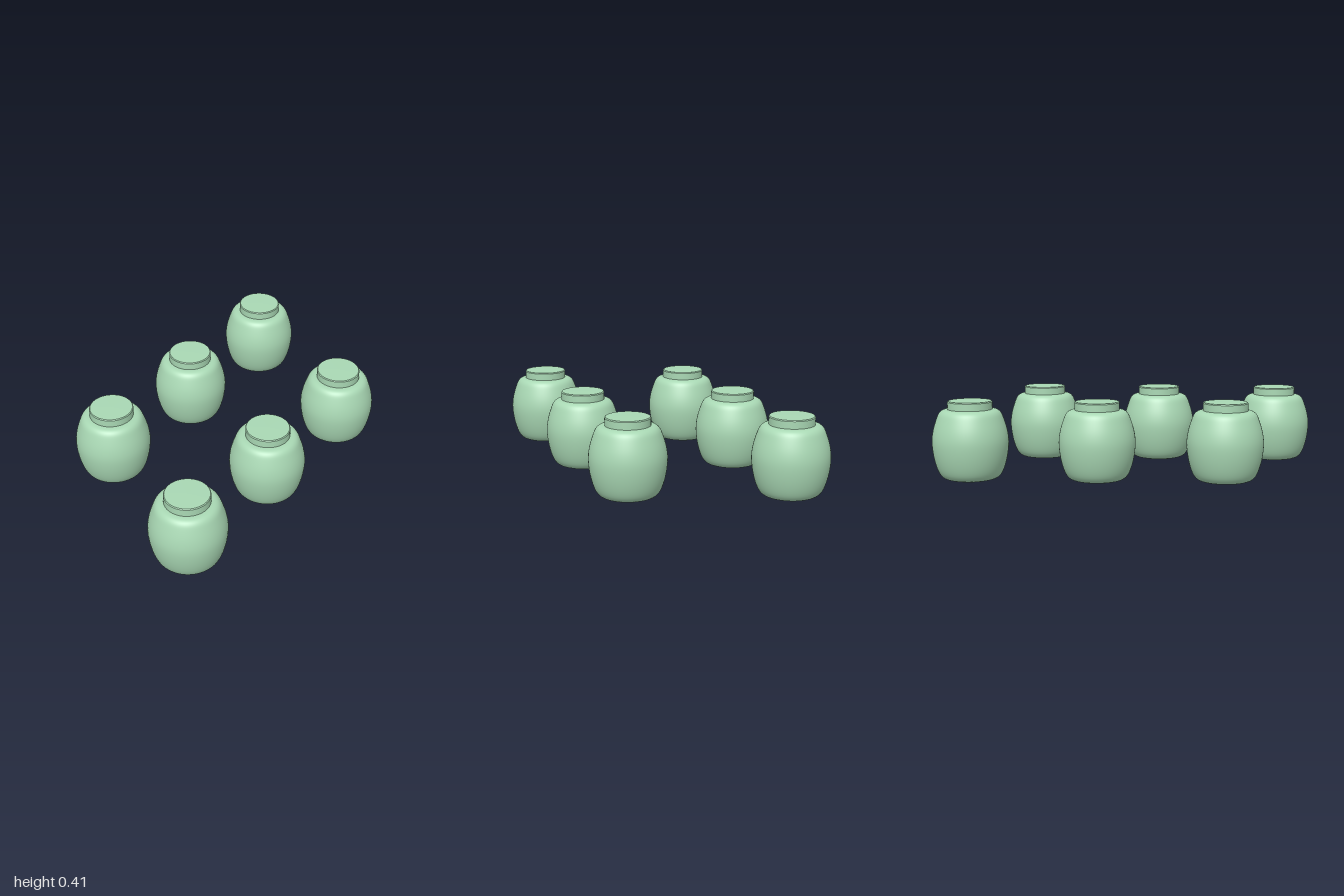
import * as THREE from 'three';

const v = (x, y) => new THREE.Vector2(x, y);

export function createModel() {
  const model = new THREE.Group();
  model.name = 'jarSet';
  const glaze = new THREE.MeshStandardMaterial({ color: 0xa9d8b4 });

  // Rounded barrel body, from the shallow base up to the flat shoulder
  const profile = new THREE.SplineCurve([
    v(0, 0), v(0.06, 0.002), v(0.118, 0.008), v(0.151, 0.025), v(0.173, 0.065),
    v(0.19, 0.13), v(0.197, 0.2), v(0.19, 0.26), v(0.172, 0.32),
    v(0.157, 0.352), v(0.135, 0.367), v(0.1, 0.37),
  ]).getPoints(44);
  profile[0].x = 0;
  const bodyGeometry = new THREE.LatheGeometry(profile, 64);

  // Lid: straight wall, tiny bevel and flat top as separate sharp-edged bands
  const lidBands = [
    [v(0.115, 0.365), v(0.115, 0.407)],
    [v(0.115, 0.407), v(0.111, 0.412)],
    [v(0.111, 0.412), v(0, 0.413)],
  ].map((points) => new THREE.LatheGeometry(points, 64));

  function createJar(x, z) {
    const jar = new THREE.Group();
    jar.name = 'jar';
    const body = new THREE.Mesh(bodyGeometry, glaze);
    body.name = 'body';
    const lid = new THREE.Group();
    lid.name = 'lid';
    ['lidWall', 'lidBevel', 'lidTop'].forEach((name, i) => {
      const band = new THREE.Mesh(lidBands[i], glaze);
      band.name = name;
      lid.add(band);
    });
    jar.add(body, lid);
    jar.position.set(x, 0, z);
    return jar;
  }

  // Two staggered rows of three
  for (const side of [-1, 1]) {
    for (const z of [-0.803, -0.149, 0.505]) {
      model.add(createJar(0.375 * side, side < 0 ? z : -z));
    }
  }
  return model;
}
